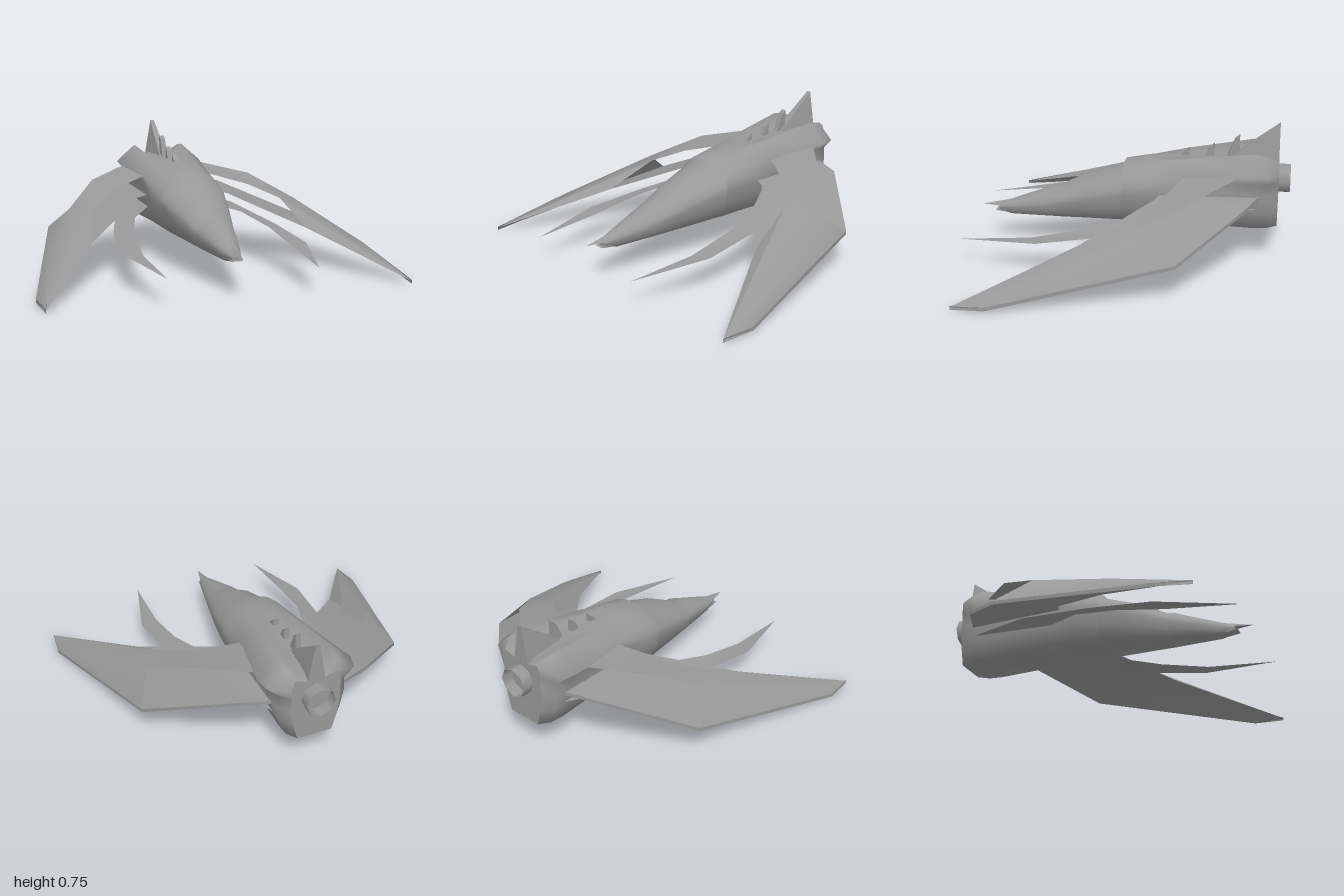
import * as THREE from 'three';
import { mergeVertices } from 'three/addons/utils/BufferGeometryUtils.js';
import { ConvexGeometry } from 'three/addons/geometries/ConvexGeometry.js';

const color = 0x989898;
const smooth = new THREE.MeshStandardMaterial({ color });
const flat = new THREE.MeshStandardMaterial({ color, flatShading: true });
const sheet = new THREE.MeshStandardMaterial({ color, side: THREE.DoubleSide });

// Welded triangles, so normals are shared and smooth
function fromTriangles(points) {
  const g = new THREE.BufferGeometry();
  g.setAttribute('position', new THREE.Float32BufferAttribute(points.flat(), 3));
  const welded = mergeVertices(g);
  welded.computeVertexNormals();
  return welded;
}

// Skin through closed rings (counter-clockwise from +z, ordered towards +z)
function loft(rings) {
  const tris = [];
  const n = rings[0].length;
  for (let i = 0; i < rings.length - 1; i++) {
    const a = rings[i], b = rings[i + 1];
    for (let j = 0; j < n; j++) {
      const k = (j + 1) % n;
      tris.push(a[j], a[k], b[k], a[j], b[k], b[j]);
    }
  }
  return fromTriangles(tris);
}

function capRing(ring, facingFront) {
  const tris = [];
  for (let j = 1; j < ring.length - 1; j++) {
    tris.push(ring[0], ...(facingFront ? [ring[j], ring[j + 1]] : [ring[j + 1], ring[j]]));
  }
  return fromTriangles(tris);
}

// Triangles between two edges of equal point count
function strip(a, b) {
  const tris = [];
  for (let i = 0; i < a.length - 1; i++) tris.push(a[i], b[i], b[i + 1], a[i], b[i + 1], a[i + 1]);
  return tris;
}

const lower = (row, d) => row.map(([x, y, z]) => [x, y - d, z]);

export function createModel() {
  const model = new THREE.Group();
  const add = (name, geometry, material) => {
    const mesh = new THREE.Mesh(geometry, material);
    mesh.name = name;
    model.add(mesh);
    return mesh;
  };
  const solid = (name, pts) =>
    add(name, new ConvexGeometry(pts.map(p => new THREE.Vector3(...p))), flat);

  // Hull: z, half width, top, widest height, bottom, and at the rear the
  // raised shoulder as notch, outer edge, ridge and valley
  const hull = [
    [-0.84, 0.14, 0.54, 0.38, 0.18, [[0.135, 0.45], [0.14, 0.5], [0.12, 0.56], [0.05, 0.54]]],
    [-0.78, 0.195, 0.56, 0.38, 0.178, [[0.19, 0.45], [0.245, 0.505], [0.145, 0.595], [0.07, 0.55]]],
    [-0.7, 0.205, 0.56, 0.38, 0.178, [[0.2, 0.45], [0.265, 0.51], [0.15, 0.61], [0.08, 0.55]]],
    [-0.33, 0.21, 0.55, 0.38, 0.197, [[0.205, 0.44], [0.2, 0.485], [0.115, 0.555], [0.06, 0.545]]],
    [-0.12, 0.212, 0.535, 0.375, 0.2], [0.02, 0.197, 0.51, 0.36, 0.195],
    [0.035, 0.195, 0.48, 0.355, 0.195], [0.25, 0.15, 0.415, 0.3, 0.185],
    [0.4, 0.114, 0.337, 0.258, 0.176], [0.43, 0.107, 0.338, 0.25, 0.175],
    [0.68, 0.05, 0.245, 0.205, 0.165], [0.76, 0.025, 0.215, 0.195, 0.177],
  ].map(([z, w, top, mid, bot, shoulder]) => {
    const up = top - mid, down = mid - bot;
    const upper = shoulder ?? [
      [0.96 * w, mid + 0.27 * up], [0.85 * w, mid + 0.52 * up],
      [0.57 * w, mid + 0.82 * up], [0.28 * w, mid + 0.95 * up],
    ];
    const half = [[0.7 * w, bot], [0.9 * w, mid - 0.5 * down], [w, mid], ...upper];
    return [
      [0, bot, z], ...half.map(([x, y]) => [x, y, z]),
      [0, top, z], ...half.reverse().map(([x, y]) => [-x, y, z]),
    ];
  });
  add('hull', loft(hull), smooth);
  add('hullBack', capRing(hull[0], false), flat);
  add('hullFront', capRing(hull[hull.length - 1], true), flat);

  // Beak
  solid('upperBeak', [[0.028, 0.21, 0.66], [-0.028, 0.21, 0.66], [0, 0.25, 0.66],
    [0.028, 0.205, 0.74], [-0.028, 0.205, 0.74], [0, 0.222, 0.74], [0, 0.205, 0.86]]);
  solid('lowerBeak', [[0.035, 0.185, 0.68], [-0.035, 0.185, 0.68], [0.03, 0.166, 0.68],
    [-0.03, 0.166, 0.68], [0.03, 0.18, 0.78], [-0.03, 0.18, 0.78]]);

  // Dorsal spikes and tail fin
  for (const [z, y, len] of [[-0.28, 0.59, 0.06], [-0.42, 0.62, 0.06], [-0.54, 0.675, 0.08]]) {
    const x = 0.015;
    solid('dorsalSpike', [[x, 0.53, z], [-x, 0.53, z], [x, 0.53, z - len], [-x, 0.53, z - len],
      [x, y, z - len], [-x, y, z - len], [x, y - 0.02, z - len + 0.025], [-x, y - 0.02, z - len + 0.025]]);
  }
  solid('tailFin', [[0.025, 0.54, -0.56], [-0.025, 0.54, -0.56], [0.05, 0.53, -0.84], [-0.05, 0.53, -0.84],
    [0.02, 0.62, -0.69], [-0.02, 0.62, -0.69], [0.012, 0.75, -0.84], [-0.012, 0.75, -0.84]]);

  // Open engine nozzle
  const nozzle = add('nozzle', new THREE.CylinderGeometry(0.083, 0.083, 0.105, 8, 1, true), sheet);
  nozzle.rotation.x = -Math.PI / 2;
  nozzle.position.set(0, 0.432, -0.853);

  // Parts mirrored left and right
  for (const s of [1, -1]) {
    const side = s > 0 ? 'left' : 'right';
    const flip = row => row.map(([x, y, z]) => [s * x, y, z]);
    const addSheet = (name, ...strips) => add(side + name, fromTriangles(strips.flat()), sheet);

    // Wing: lower blade with a thick rear edge, upper blade, joined towards the tip
    const rear = flip([[0.2, 0.38, -0.73], [0.38, 0.37, -0.66], [0.77, 0.2, -0.32], [1, 0.025, 0.62], [0.98, 0.015, 0.8]]);
    const under = lower(rear, 0.02);
    const inner = flip([[0.19, 0.38, -0.2], [0.27, 0.37, -0.17], [0.62, 0.21, 0.22], [0.8, 0.11, 0.51], [0.98, 0.01, 0.8]]);
    const ridge = flip([[0.2, 0.51, -0.66], [0.49, 0.45, -0.4], [0.68, 0.33, -0.14], [0.9, 0.14, 0.37], [0.98, 0.015, 0.8]]);
    const front = flip([[0.17, 0.48, -0.33], [0.42, 0.41, -0.2], [0.56, 0.345, -0.05], [0.8, 0.155, 0.43], [0.98, 0.01, 0.8]]);
    addSheet('LowerWing', strip(rear, inner));
    addSheet('WingUnderside', strip(under, inner));
    addSheet('WingRearEdge', strip(rear, under));
    addSheet('UpperWing', strip(rear.slice(2), ridge.slice(2)), strip(ridge, front));
    addSheet('WingFrontEdge', strip(front.slice(2), inner.slice(2)));

    // Curved claw under the wing
    const outerEdge = flip([[0.19, 0.31, -0.73], [0.36, 0.285, -0.35], [0.48, 0.22, 0.09], [0.515, 0.18, 0.45], [0.4, 0.143, 0.89]]);
    const innerEdge = flip([[0.19, 0.3, -0.25], [0.32, 0.275, -0.05], [0.395, 0.225, 0.21], [0.415, 0.175, 0.49], [0.4, 0.143, 0.89]]);
    addSheet('Claw', strip(outerEdge, innerEdge));
  }
  return model;
}
